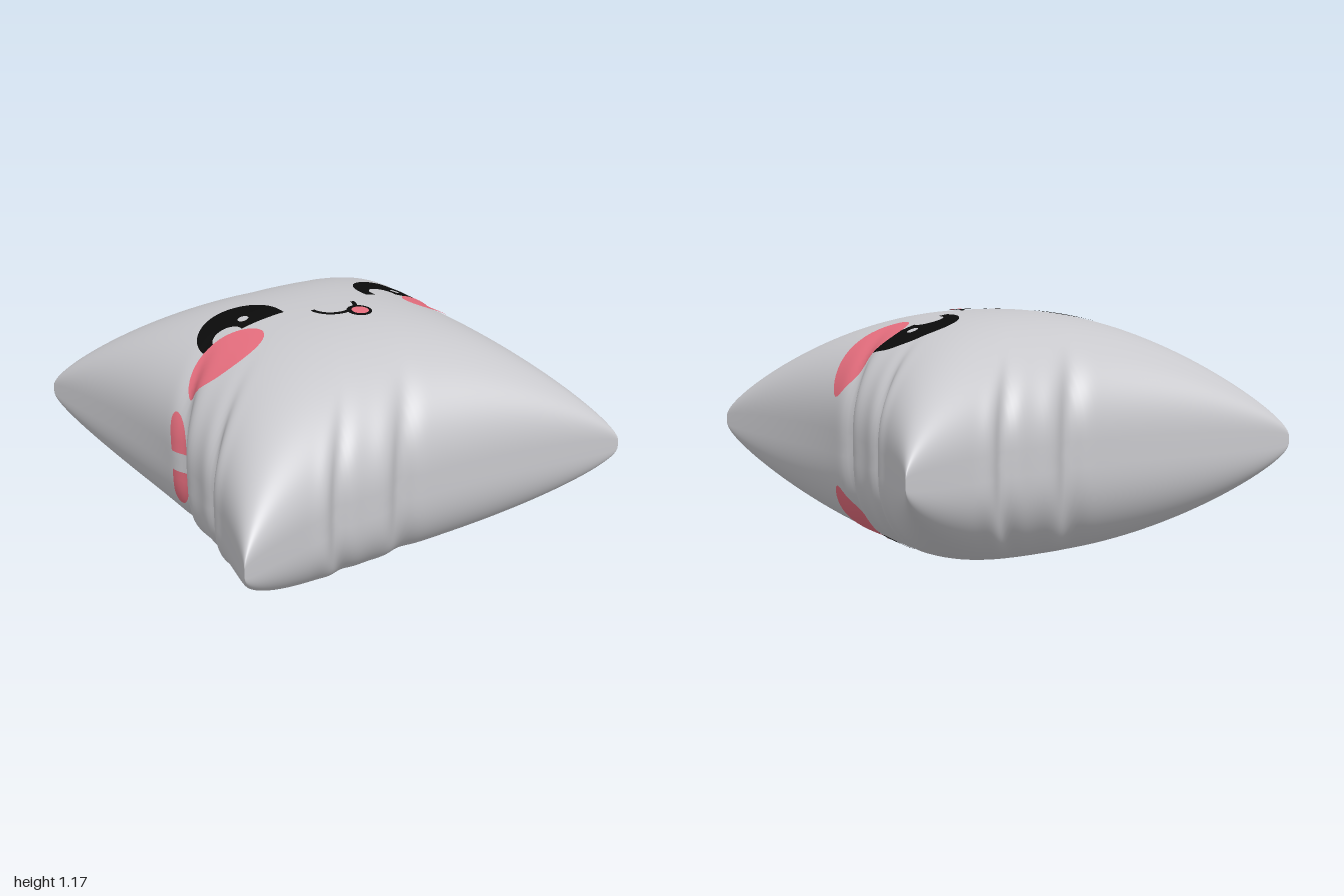
import * as THREE from 'three';
import { mergeVertices, mergeGeometries } from 'three/addons/utils/BufferGeometryUtils.js';

const HALF = 0.583; // half thickness at the middle

const fabric = new THREE.MeshStandardMaterial({ color: 0xc8c8cc });
fabric.name = 'grey fabric';
const ink = new THREE.MeshStandardMaterial({ color: 0x0b0b0b });
ink.name = 'black print';
const pink = new THREE.MeshStandardMaterial({ color: 0xe66e7e });
pink.name = 'pink print';

const bump = (t, c, w) => Math.exp(-(((t - c) / w) ** 2));

// Distance of the edge from the middle: pulled-in outline plus two creases that fade inwards
function reach(a, t) {
  const s = t - 0.6 * (1 - Math.abs(a));
  const crease = -0.042 * bump(s, -0.11, 0.06) + 0.02 * bump(s, -0.23, 0.07)
    - 0.036 * bump(s, -0.47, 0.05) + 0.012 * bump(s, -0.56, 0.05);
  return 0.82 + 0.18 * Math.abs(t) ** 1.7 + crease * Math.abs(a) ** 4;
}
const edge = (a, b) => reach(a, a < 0 ? -b : b);

const swell = (a) => Math.max(0, 1 - Math.abs(a) ** 2.4) ** 0.4545;

// Point of the upper (side 1) or lower (side -1) cloth
function cloth(u, v, side) {
  const g = swell(u) * swell(v);
  const h = HALF * (0.8 * g + 0.2 * g ** 0.3);
  return new THREE.Vector3(u * edge(u, v), HALF + side * h, v * edge(v, u));
}

function clothNormal(u, v, side) {
  const e = 0.0015;
  const a = THREE.MathUtils.clamp(u, -0.998, 0.998);
  const b = THREE.MathUtils.clamp(v, -0.998, 0.998);
  const du = cloth(a + e, b, side).sub(cloth(a - e, b, side));
  const dv = cloth(a, b + e, side).sub(cloth(a, b - e, side));
  return dv.cross(du).multiplyScalar(side).normalize();
}

// Cloth coordinates lying above plan position x, z
function locate(x, z) {
  let u = x, v = z;
  for (let i = 0; i < 25; i++) {
    const nu = THREE.MathUtils.clamp(x / edge(u, v), -0.9999, 0.9999);
    const nv = THREE.MathUtils.clamp(z / edge(v, u), -0.9999, 0.9999);
    u = (u + nu) / 2;
    v = (v + nv) / 2;
  }
  return [u, v];
}

// One cloth half, with rows crowded towards the seam
function sheet(side) {
  const n = 140, pos = [], index = [];
  const spread = (i) => {
    const s = (2 * i) / n - 1;
    return Math.sign(s) * (1 - (1 - Math.abs(s)) ** 2);
  };
  for (let j = 0; j <= n; j++) {
    for (let i = 0; i <= n; i++) pos.push(...cloth(spread(i), spread(j), side).toArray());
  }
  for (let j = 0; j < n; j++) {
    for (let i = 0; i < n; i++) {
      const a = j * (n + 1) + i, b = a + 1, c = a + n + 1, d = c + 1;
      if (side > 0) index.push(a, c, b, b, c, d);
      else index.push(a, b, c, b, d, c);
    }
  }
  const geo = new THREE.BufferGeometry();
  geo.setAttribute('position', new THREE.Float32BufferAttribute(pos, 3));
  geo.setIndex(index);
  return geo;
}

// Lays a flat shape, drawn in x and z, onto the cloth
function printed(name, shape, material, side, lift) {
  const flat = new THREE.ShapeGeometry(shape, 20);
  const p = flat.attributes.position, idx = flat.index.array;
  const pos = [], nor = [];
  const point = (x, z) => {
    const [u, v] = locate(x, z);
    const n = clothNormal(u, v, side);
    return { x, z, n, at: cloth(u, v, side).addScaledVector(n, lift) };
  };
  const split = (a, b, c, depth) => {
    const ab = a.at.distanceTo(b.at), bc = b.at.distanceTo(c.at), ca = c.at.distanceTo(a.at);
    const longest = Math.max(ab, bc, ca);
    if (longest > 0.035 && depth < 12) {
      if (longest === bc) [a, b, c] = [b, c, a];
      else if (longest === ca) [a, b, c] = [c, a, b];
      const m = point((a.x + b.x) / 2, (a.z + b.z) / 2);
      split(a, m, c, depth + 1);
      split(m, b, c, depth + 1);
      return;
    }
    for (const q of side > 0 ? [a, c, b] : [a, b, c]) {
      pos.push(...q.at.toArray());
      nor.push(...q.n.toArray());
    }
  };
  const pts = [];
  for (let i = 0; i < p.count; i++) pts.push(point(p.getX(i), p.getY(i)));
  for (let i = 0; i < idx.length; i += 3) split(pts[idx[i]], pts[idx[i + 1]], pts[idx[i + 2]], 0);
  const geo = new THREE.BufferGeometry();
  geo.setAttribute('position', new THREE.Float32BufferAttribute(pos, 3));
  geo.setAttribute('normal', new THREE.Float32BufferAttribute(nor, 3));
  const mesh = new THREE.Mesh(geo, material);
  mesh.name = name;
  return mesh;
}

function oval(x, z, rx, rz) {
  const s = new THREE.Shape();
  s.absellipse(x, z, rx, rz, 0, Math.PI * 2, false, 0);
  return s;
}

// Domed eye with a round notch below and a small glint
function eyeShape(x, z) {
  const s = new THREE.Shape();
  s.moveTo(x + 0.204, z + 0.045);
  s.lineTo(x + 0.203, z);
  s.absarc(x, z, 0.203, 0, -Math.PI, true);
  s.lineTo(x - 0.198, z + 0.05);
  s.lineTo(x - 0.15, z + 0.052);
  s.absarc(x - 0.082, z + 0.024, 0.07, 2.75, Math.PI * 2, false);
  s.lineTo(x - 0.014, z + 0.032);
  s.closePath();
  const glint = new THREE.Path();
  glint.absarc(x + 0.037, z - 0.045, 0.025, 0, Math.PI * 2, true);
  s.holes.push(glint);
  return s;
}

// Smile: a curved band
function smileShape() {
  const s = new THREE.Shape();
  s.absellipse(0.027, 0.04, 0.12, 0.105, 0, Math.PI, false, 0);
  s.absellipse(0.027, 0.04, 0.098, 0.082, Math.PI, 0, true, 0);
  s.closePath();
  return s;
}

function face(side) {
  const g = new THREE.Group();
  g.name = side > 0 ? 'upperFace' : 'lowerFace';
  const add = (...args) => g.add(printed(...args.slice(0, 3), side, args[3]));
  add('rightEye', eyeShape(-0.402, -0.07), ink, 0.003);
  add('leftEye', eyeShape(0.46, -0.07), ink, 0.003);
  add('rightCheek', oval(-0.55, 0.06, 0.185, 0.12), pink, 0.005);
  add('leftCheek', oval(0.617, 0.06, 0.185, 0.12), pink, 0.005);
  add('sideBlush', oval(-0.802, 0.05, 0.024, 0.06), pink, 0.004);
  add('smile', smileShape(), ink, 0.003);
  add('tongueOutline', oval(0.106, 0.148, 0.06, 0.058), ink, 0.004);
  add('tongue', oval(0.108, 0.152, 0.041, 0.039), pink, 0.006);
  return g;
}

export function createModel() {
  const model = new THREE.Group();
  model.name = 'pillow';
  const geo = mergeVertices(mergeGeometries([sheet(1), sheet(-1)]), 1e-5);
  geo.computeVertexNormals();
  const cushion = new THREE.Mesh(geo, fabric);
  cushion.name = 'cushion';
  model.add(cushion, face(1), face(-1));
  return model;
}
